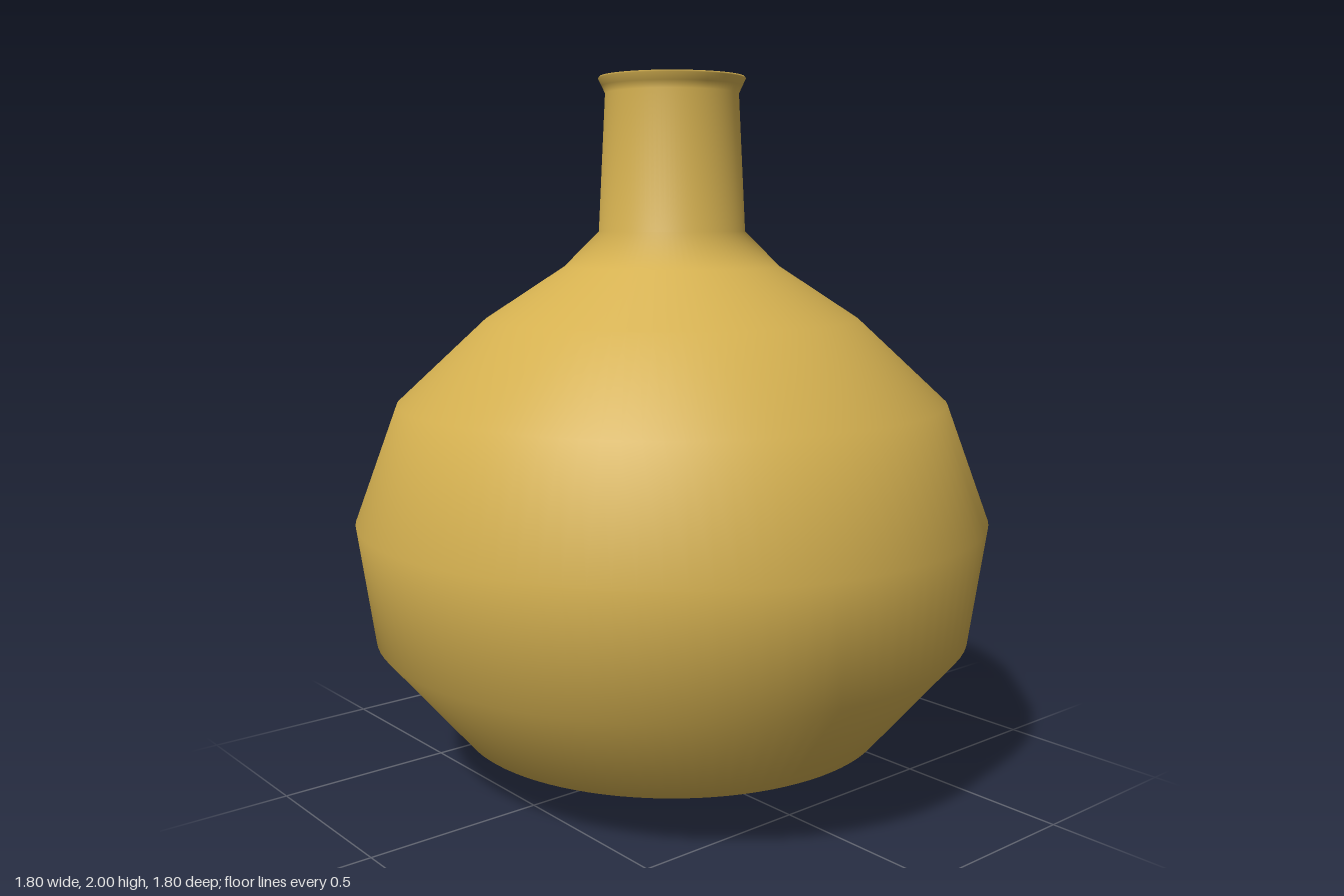
import * as THREE from 'three';

const SEGMENTS = 96;

// Revolve a list of [radius, height] pairs around the y axis
function revolve(name, profile, material) {
  const points = profile.map(([r, y]) => new THREE.Vector2(r, y));
  const mesh = new THREE.Mesh(new THREE.LatheGeometry(points, SEGMENTS), material);
  mesh.name = name;
  return mesh;
}

export function createModel() {
  const group = new THREE.Group();
  group.name = 'flask';
  const gold = new THREE.MeshStandardMaterial({ color: 0xd4b050 });
  gold.name = 'gold';

  // Outer wall: base with small raised ring, faceted belly, shoulder, neck, flared lip,
  // then over the lip and down the inside to the floor
  group.add(revolve('flaskBody', [
    [0, 0.012], [0.125, 0.012], [0.135, 0.003], [0.145, 0], [0.155, 0.006],
    [0.17, 0.012], [0.285, 0.024],
    [0.617, 0.148], [0.855, 0.433], [0.902, 0.768], [0.78, 1.098],
    [0.53, 1.33], [0.305, 1.477], [0.207, 1.575],
    [0.187, 1.955], [0.196, 1.975], [0.206, 1.995], [0.203, 2],
    [0.19, 1.993], [0.172, 1.975], [0.157, 1.945],
    [0.172, 1.58], [0.27, 1.44], [0.5, 1.29], [0.74, 1.08], [0.86, 0.765],
    [0.815, 0.445], [0.59, 0.185], [0.27, 0.065], [0, 0.05],
  ], gold));

  return group;
}
